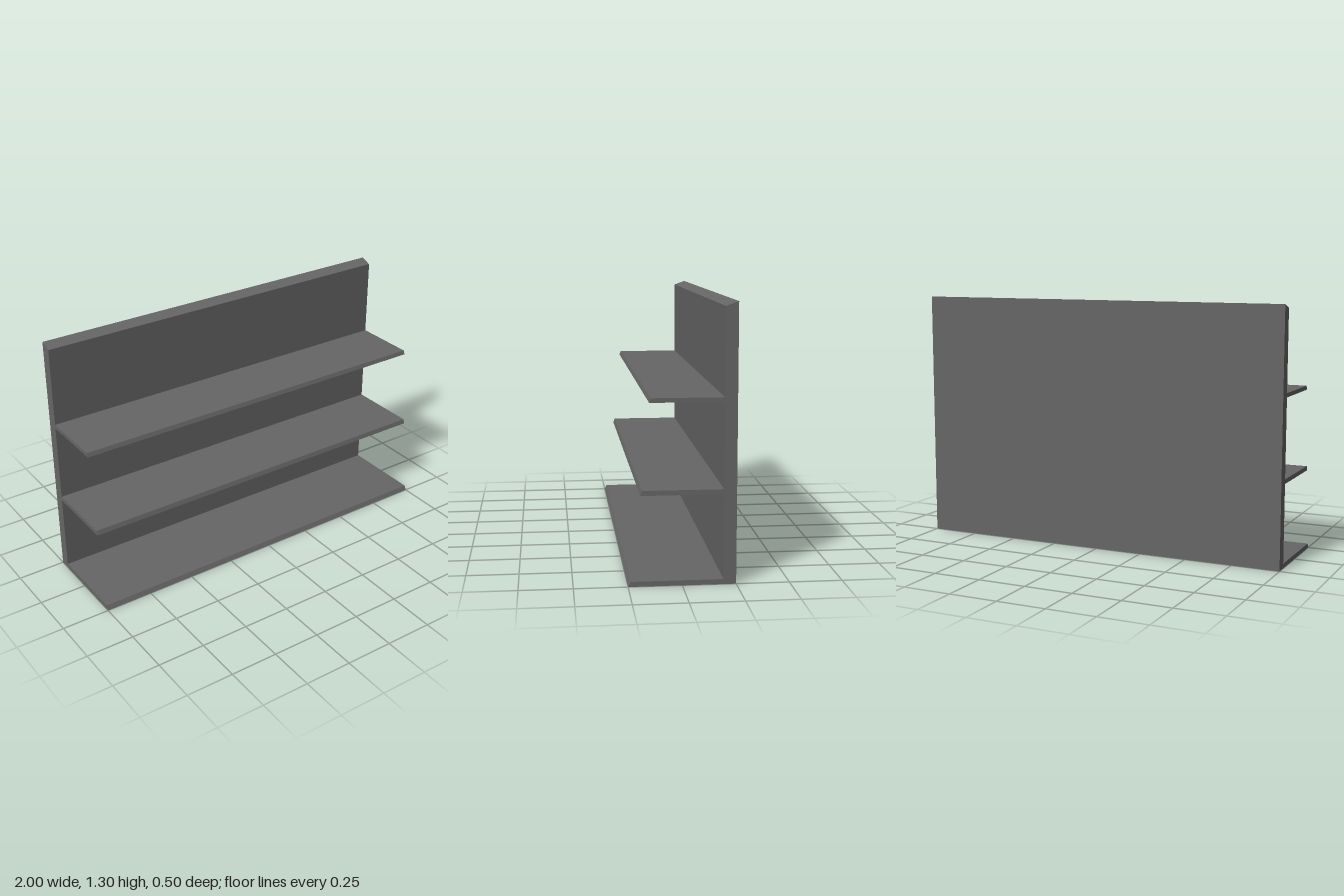
import * as THREE from 'three';

const WIDTH = 2;
const BACK = -0.25, PANEL_FRONT = -0.191;

export function createModel() {
  const model = new THREE.Group();
  model.name = 'shelfUnit';
  const grey = new THREE.MeshStandardMaterial({ color: 0x666666 });
  grey.name = 'darkGrey';

  // Extrudes a side profile of [z, y] points across the full width
  function addProfile(name, points) {
    const shape = new THREE.Shape(points.map(([z, y]) => new THREE.Vector2(z, y)));
    const geometry = new THREE.ExtrudeGeometry(shape, { depth: WIDTH, bevelEnabled: false });
    geometry.translate(0, 0, -WIDTH / 2).rotateY(-Math.PI / 2);
    const mesh = new THREE.Mesh(geometry, grey);
    mesh.name = name;
    model.add(mesh);
  }

  // Back panel with a top edge sloping down to the front
  addProfile('backPanel', [[BACK, 0], [PANEL_FRONT, 0], [PANEL_FRONT, 1.28], [BACK, 1.301]]);

  // Shelves with slanted front edges, shallower towards the top
  const shelves = [
    { name: 'bottomShelf', bottom: 0, top: 0.024, lowerEdge: 0.25, upperEdge: 0.238 },
    { name: 'middleShelf', bottom: 0.425, top: 0.448, lowerEdge: 0.193, upperEdge: 0.185 },
    { name: 'topShelf', bottom: 0.85, top: 0.871, lowerEdge: 0.152, upperEdge: 0.144 },
  ];
  for (const s of shelves) {
    addProfile(s.name, [
      [PANEL_FRONT, s.bottom], [s.lowerEdge, s.bottom],
      [s.upperEdge, s.top], [PANEL_FRONT, s.top],
    ]);
  }
  return model;
}
